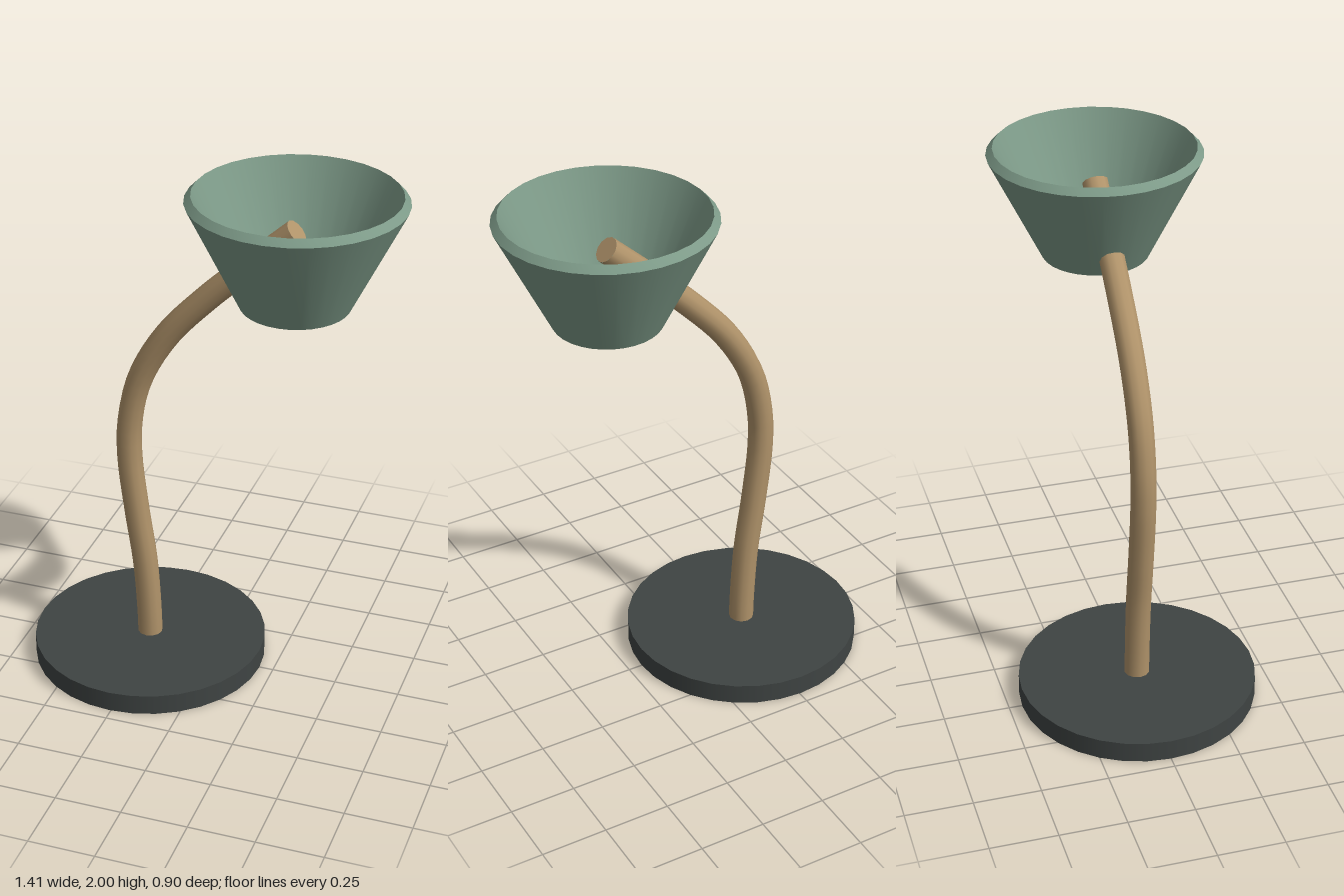
import * as THREE from 'three';
import { toCreasedNormals } from 'three/addons/utils/BufferGeometryUtils.js';

const paint = (color) => new THREE.MeshStandardMaterial({ color });

function part(name, geometry, material) {
  const mesh = new THREE.Mesh(geometry, material);
  mesh.name = name;
  return mesh;
}

export function createModel() {
  const group = new THREE.Group();
  group.name = 'lamp';

  // Round flat foot
  const base = part('base', new THREE.CylinderGeometry(0.45, 0.45, 0.08, 32), paint(0x3f4443));
  base.position.set(-0.255, 0.04, 0);
  group.add(base);

  // Curved stem, rising from the foot into the shade
  const path = new THREE.CatmullRomCurve3([
    [-0.255, 0.04], [-0.257, 0.16], [-0.272, 0.4], [-0.302, 0.62], [-0.327, 0.86], [-0.322, 1.01],
    [-0.28, 1.19], [-0.175, 1.38], [-0.01, 1.565], [0.15, 1.715], [0.31, 1.86],
  ].map(([x, y]) => new THREE.Vector3(x, y, 0)));
  const stemRadius = 0.048;
  const wood = paint(0xb0936a);
  const stem = new THREE.Group();
  stem.name = 'stem';
  stem.add(part('stemTube', new THREE.TubeGeometry(path, 40, stemRadius, 12), wood));

  // Flat ends of the stem
  for (const [name, t, sign] of [['stemFoot', 0, -1], ['stemTip', 1, 1]]) {
    const cap = part(name, new THREE.CircleGeometry(stemRadius, 12), wood);
    const outward = path.getTangentAt(t).multiplyScalar(sign);
    cap.position.copy(path.getPointAt(t));
    cap.quaternion.setFromUnitVectors(new THREE.Vector3(0, 0, 1), outward);
    stem.add(cap);
  }
  group.add(stem);

  // Open conical shade: outer wall up, rim, inner wall down, bottom edge
  const profile = [
    [0.198, 1.58], [0.393, 1.975], [0.369, 2], [0.17, 1.592], [0.198, 1.58],
  ].map(([r, y]) => new THREE.Vector2(r, y));
  const shade = part('shade', toCreasedNormals(new THREE.LatheGeometry(profile, 32), 0.5), paint(0x7d9a88));
  shade.position.x = 0.31;
  group.add(shade);

  return group;
}
